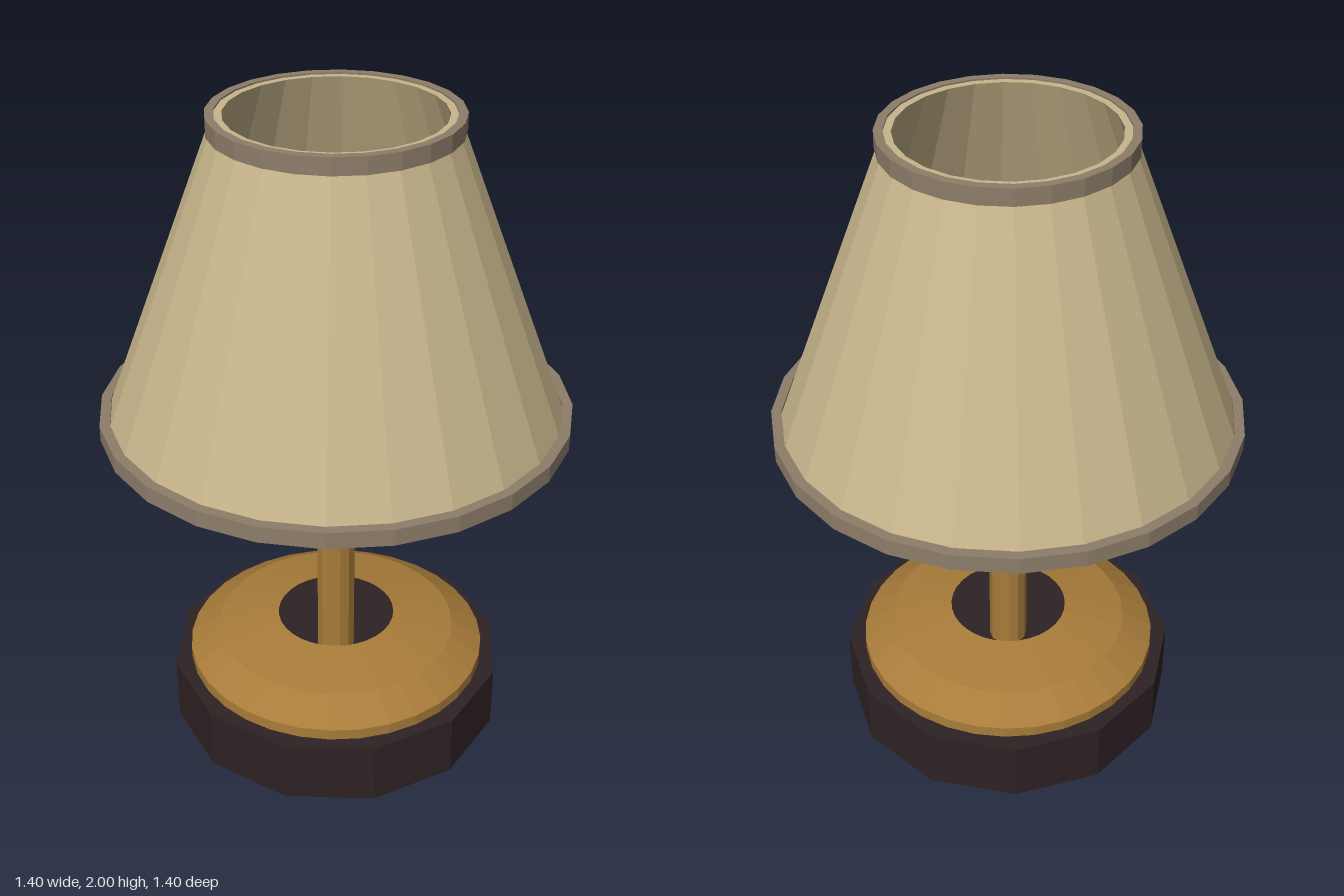
import * as THREE from 'three';

export function createModel() {
  const lamp = new THREE.Group();
  lamp.name = 'tableLamp';

  const mat = (name, color) => {
    const m = new THREE.MeshStandardMaterial({ color, flatShading: true });
    m.name = name;
    return m;
  };
  const fabric = mat('shade fabric', 0xc8b68c);
  const trim = mat('shade trim', 0x8e7e6a);
  const brass = mat('brass', 0xa87c3a);
  const wood = mat('dark wood', 0x2e2224);
  const glow = mat('bulb glass', 0xe6c88c);
  brass.side = THREE.DoubleSide; // the dish is an open shell

  const add = (name, geometry, material, x = 0, y = 0, z = 0) => {
    const mesh = new THREE.Mesh(geometry, material);
    mesh.name = name;
    mesh.position.set(x, y, z);
    lamp.add(mesh);
    return mesh;
  };
  // Upright cylinder between two heights
  const post = (name, r, y0, y1, sides, material, x = 0, z = 0) =>
    add(name, new THREE.CylinderGeometry(r, r, y1 - y0, sides), material, x, (y0 + y1) / 2, z);
  // Turned part from [radius, height] pairs, listed upward on the outside
  const turned = (name, profile, sides, material) =>
    add(name, new THREE.LatheGeometry(profile.map(p => new THREE.Vector2(...p)), sides), material);
  // Band with a rectangular section
  const band = (name, inner, outer, y0, y1) =>
    turned(name, [[inner, y0], [outer, y0], [outer, y1], [inner, y1], [inner, y0]], 24, trim);

  // Foot and the brass dish with an open centre
  post('base', 0.525, 0, 0.2, 12, wood);
  turned('dish', [[0.47, 0.2], [0.47, 0.235], [0.375, 0.295], [0.185, 0.33]], 32, brass);

  // Stem, socket and bulb
  post('stem', 0.06, 0.2, 1.3, 12, brass);
  post('socket', 0.15, 1.285, 1.44, 24, brass);
  add('bulb', new THREE.SphereGeometry(0.15, 12, 6), glow, 0, 1.55, 0);

  // Three arms carrying the shade
  for (let i = 0; i < 3; i++) {
    const a = (i * Math.PI * 2) / 3;
    const arm = add('shadeArm', new THREE.CylinderGeometry(0.014, 0.014, 0.46, 8), brass,
      Math.cos(a) * 0.31, 1.41, Math.sin(a) * 0.31);
    arm.rotation.set(0, -a, Math.PI / 2);
  }

  // Pull cord with its knob
  post('pullCord', 0.012, 0.86, 1.4, 8, brass, 0.163, 0.055);
  post('pullKnob', 0.034, 0.76, 0.87, 12, brass, 0.163, 0.055);

  // Tapered shade with wall thickness, and its trim bands
  turned('shade', [[0.66, 1.07], [0.682, 1.07], [0.332, 1.995], [0.308, 1.995], [0.66, 1.07]], 24, fabric);
  band('lowerTrim', 0.67, 0.7, 1.06, 1.11);
  band('upperTrim', 0.33, 0.355, 1.95, 2);

  return lamp;
}
